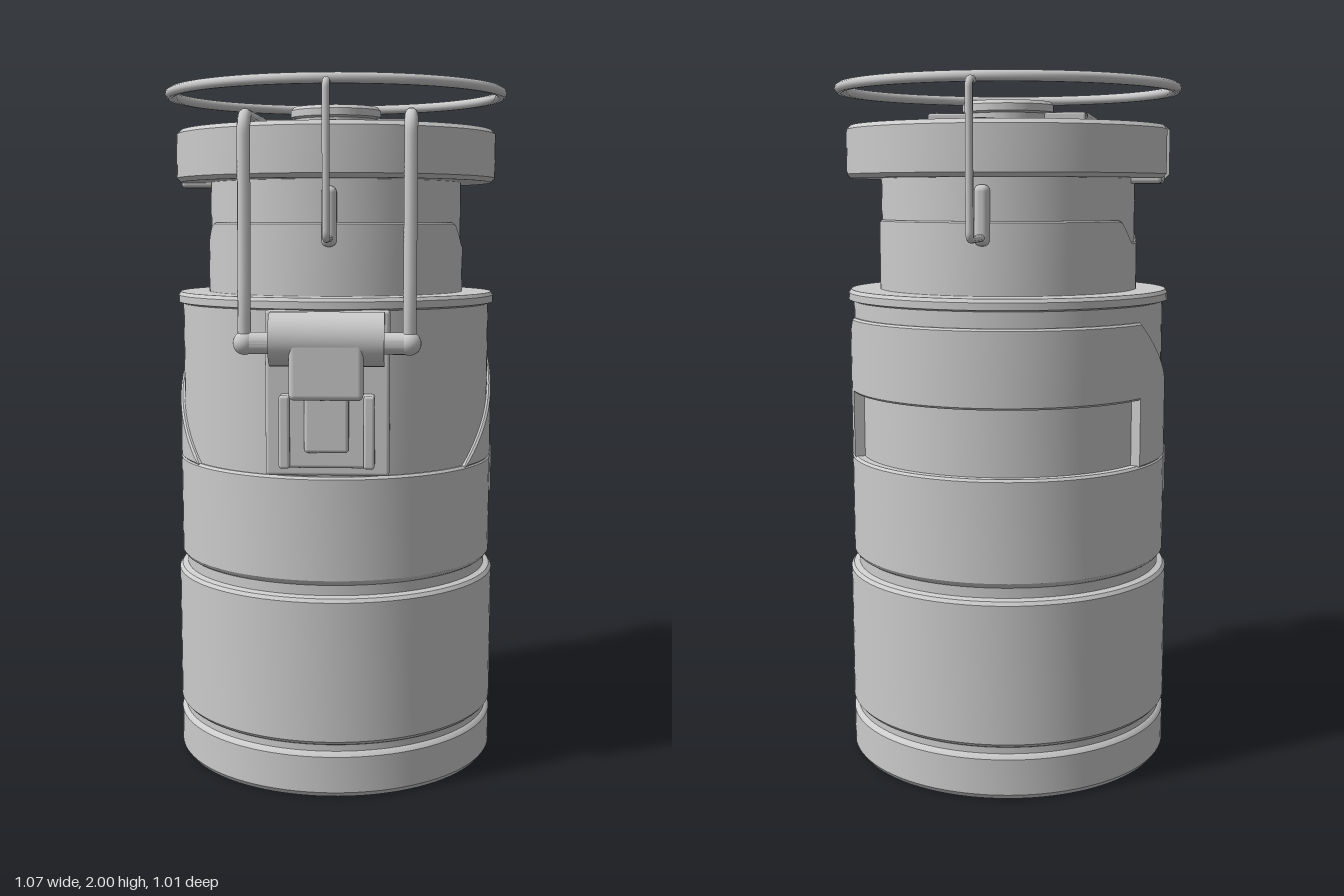
import * as THREE from 'three';
import { toCreasedNormals } from 'three/addons/utils/BufferGeometryUtils.js';
import { RoundedBoxGeometry } from 'three/addons/geometries/RoundedBoxGeometry.js';

const mat = new THREE.MeshStandardMaterial({ color: 0xcccccc });
const V = (x, y, z) => new THREE.Vector3(x, y, z);
const rad = (d) => d * Math.PI / 180;

function add(parent, name, geo, x = 0, y = 0, z = 0) {
  const m = new THREE.Mesh(geo, mat);
  m.name = name;
  m.position.set(x, y, z);
  parent.add(m);
  return m;
}

// Turned solid from [radius, height] points, running from the lower axis to the upper axis
function turned(points) {
  const g = new THREE.LatheGeometry(points.map(([r, y]) => new THREE.Vector2(r, y)), 96);
  return toCreasedNormals(g, 0.5);
}

// Curved, bevelled plate between two angles (degrees from local +z towards +x)
function curvedPlate(a0, a1, r0, r1, bottom, top, bevel = 0.006) {
  const n = Math.max(2, Math.ceil((a1 - a0) / 3)), pos = [], idx = [], k = 6;
  const val = (f, a) => (typeof f === 'function' ? f(a) : f);
  for (let i = 0; i <= n; i++) {
    const a = a0 + (a1 - a0) * i / n, s = Math.sin(rad(a)), c = Math.cos(rad(a));
    const b = val(bottom, a), t = val(top, a), e = Math.min(bevel, (t - b) / 2);
    const loop = [[r0, b], [r1 - e, b], [r1, b + e], [r1, t - e], [r1 - e, t], [r0, t]];
    for (const [r, y] of loop) pos.push(r * s, y, r * c);
  }
  for (let i = 0; i < n; i++) {
    for (let j = 0; j < k; j++) {
      const p = i * k + j, q = i * k + (j + 1) % k;
      idx.push(p, p + k, q + k, p, q + k, q);
    }
  }
  for (let j = 1; j < k - 1; j++) {
    idx.push(0, j, j + 1, n * k, n * k + j + 1, n * k + j);
  }
  const g = new THREE.BufferGeometry();
  g.setAttribute('position', new THREE.Float32BufferAttribute(pos, 3));
  g.setIndex(idx);
  return toCreasedNormals(g, 0.5);
}

// Bent wire: straight runs with rounded corners
function wire(points, radius, corner = 0.03) {
  const path = new THREE.CurvePath();
  let from = points[0];
  for (let i = 1; i < points.length; i++) {
    const p = points[i];
    if (i === points.length - 1) { path.add(new THREE.LineCurve3(from, p)); break; }
    const before = p.clone().add(points[i - 1].clone().sub(p).setLength(corner));
    const after = p.clone().add(points[i + 1].clone().sub(p).setLength(corner));
    path.add(new THREE.LineCurve3(from, before));
    path.add(new THREE.QuadraticBezierCurve3(before, p, after));
    from = after;
  }
  return new THREE.TubeGeometry(path, 90, radius, 10, false);
}

export function createModel() {
  const root = new THREE.Group();
  root.name = 'canister';
  // Everything is laid out with the latch at local +z, then turned into place
  const g = new THREE.Group();
  g.name = 'canisterAssembly';
  g.position.set(0.012, 0, -0.002);
  g.rotation.y = rad(-55);
  root.add(g);

  // Base with hollow underside, grooved bands and lower body
  add(g, 'body', turned([
    [0, 0.07], [0.19, 0.07], [0.2, 0.05], [0.23, 0.05], [0.245, 0.1], [0.29, 0.1], [0.31, 0.13],
    [0.425, 0.01], [0.44, 0], [0.47, 0], [0.481, 0.015], [0.481, 0.12], [0.474, 0.13],
    [0.468, 0.133], [0.468, 0.152], [0.475, 0.156], [0.482, 0.165], [0.482, 0.568], [0.474, 0.578],
    [0.457, 0.583], [0.457, 0.612], [0.465, 0.617], [0.472, 0.628], [0.472, 0.913], [0.465, 0.92],
    [0.442, 0.92], [0.442, 1.37], [0.46, 1.375], [0.474, 1.38], [0.474, 1.4], [0.467, 1.41],
    [0.374, 1.41], [0.374, 1.74], [0, 1.74]]));

  // Raised side panels with a slanting upper edge, meeting a band over the rear recess
  const slant = (a) => 0.92 + 0.41 * THREE.MathUtils.clamp((Math.abs(a) - 55) / 62, 0, 1);
  add(g, 'leftSidePanel', curvedPlate(55, 117, 0.43, 0.472, 0.915, slant));
  add(g, 'rightSidePanel', curvedPlate(-117, -55, 0.43, 0.472, 0.915, slant));
  add(g, 'rearBand', curvedPlate(117, 243, 0.43, 0.472, 1.11, 1.33));
  add(g, 'frontPanel', curvedPlate(-116.5, 116.5, 0.43, 0.46, 0.915, 1.38, 0.002));
  add(g, 'rearCollar', curvedPlate(116.5, 243.5, 0.43, 0.46, 1.32, 1.38, 0.002));

  // Neck sleeve with a trapezoid dip on each side
  const dip = (a) => {
    const d = Math.abs(Math.abs(a) - 90);
    return 1.612 - 0.065 * THREE.MathUtils.clamp((22 - d) / 12, 0, 1);
  };
  add(g, 'neckSleeve', curvedPlate(-180, 180, 0.36, 0.381, 1.405, dip, 0.004));

  // Lid: hub and dish inside, rim outside with a notch on one side
  add(g, 'lidCentre', turned([
    [0, 1.735], [0.365, 1.735], [0.365, 1.88], [0.325, 1.88], [0.32, 1.872], [0.24, 1.872],
    [0.225, 1.8], [0.2, 1.8], [0.19, 1.86], [0.16, 1.875], [0.15, 1.84], [0.122, 1.84], [0.122, 1.915],
    [0.134, 1.92], [0.134, 1.94], [0.125, 1.95], [0.095, 1.95], [0.085, 1.925], [0.065, 1.925],
    [0.06, 1.942], [0.048, 1.942], [0.045, 1.932], [0, 1.932]]));
  add(g, 'lidRim', curvedPlate(-83, 263, 0.36, 0.474, 1.73, 1.88, 0.012));
  add(g, 'lidNotchPlate', new RoundedBoxGeometry(0.1, 0.135, 0.12, 3, 0.012), -0.407, 1.782, 0);

  // Carrying ring
  const ring = add(g, 'topRing', new THREE.TorusGeometry(0.49, 0.015, 10, 96), 0, 1.985, 0);
  ring.rotation.x = Math.PI / 2;

  for (const s of [1, -1]) {
    const end = s > 0 ? 'front' : 'rear';
    // Wire hooks holding the ring to the neck, and their sockets
    add(g, end + 'RingHook', wire([
      V(0, 1.975, s * 0.49), V(0, 1.975, s * 0.538), V(0, 1.568, s * 0.538), V(0, 1.568, s * 0.37)],
    0.0105, 0.02));
    add(g, end + 'HookSocket', new RoundedBoxGeometry(0.042, 0.165, 0.05, 4, 0.018), 0, 1.628, s * 0.374);

    // Lid screws
    add(g, end + 'LidScrew', new THREE.CylinderGeometry(0.038, 0.038, 0.012, 32), 0, 1.878, s * 0.39);
    const trim = add(g, end + 'ScrewTrim', new THREE.TorusGeometry(0.041, 0.004, 6, 32), 0, 1.88, s * 0.39);
    trim.rotation.x = Math.PI / 2;

    // Small vertical keys on the body sides
    const side = s > 0 ? 'left' : 'right';
    add(g, side + 'BodyKey', new RoundedBoxGeometry(0.024, 0.15, 0.03, 4, 0.011), s * 0.464, 0.872, 0.016);

    // Bail arms running from the hub over the lid and down to the latch
    add(g, side + 'BailArm', wire([
      V(s * 0.222, 1.908, -0.04), V(s * 0.222, 1.895, 0.47), V(s * 0.222, 1.4, 0.495), V(s * 0.222, 1.29, 0.49)],
    0.018, 0.05));
    add(g, side + 'BailTab', new RoundedBoxGeometry(0.13, 0.026, 0.045, 2, 0.006), s * 0.168, 1.905, -0.018);
    add(g, side + 'BailEnd', new THREE.SphereGeometry(0.032, 20, 14), s * 0.222, 1.29, 0.49);
    add(g, side + 'LatchRail', new RoundedBoxGeometry(0.03, 0.2, 0.06, 2, 0.008), s * 0.115, 1.05, 0.485);
  }

  // Latch: backing plate, pivot barrel, lever and catch
  add(g, 'latchBacking', new RoundedBoxGeometry(0.34, 0.455, 0.08, 2, 0.01), 0, 1.15, 0.424);
  const barrel = add(g, 'latchBarrel', toCreasedNormals(new THREE.CylinderGeometry(0.074, 0.074, 0.31, 40), 0.5), 0, 1.3, 0.476);
  barrel.rotation.z = Math.PI / 2;
  const pin = add(g, 'latchPin', toCreasedNormals(new THREE.CylinderGeometry(0.03, 0.03, 0.45, 24), 0.5), 0, 1.29, 0.488);
  pin.rotation.z = Math.PI / 2;
  add(g, 'latchLever', new RoundedBoxGeometry(0.2, 0.19, 0.1, 3, 0.015), 0, 1.235, 0.498);
  add(g, 'latchCatch', new RoundedBoxGeometry(0.24, 0.2, 0.07, 2, 0.01), 0, 1.05, 0.465);
  add(g, 'latchTongue', new RoundedBoxGeometry(0.12, 0.17, 0.04, 2, 0.01), 0, 1.08, 0.5);

  return root;
}
